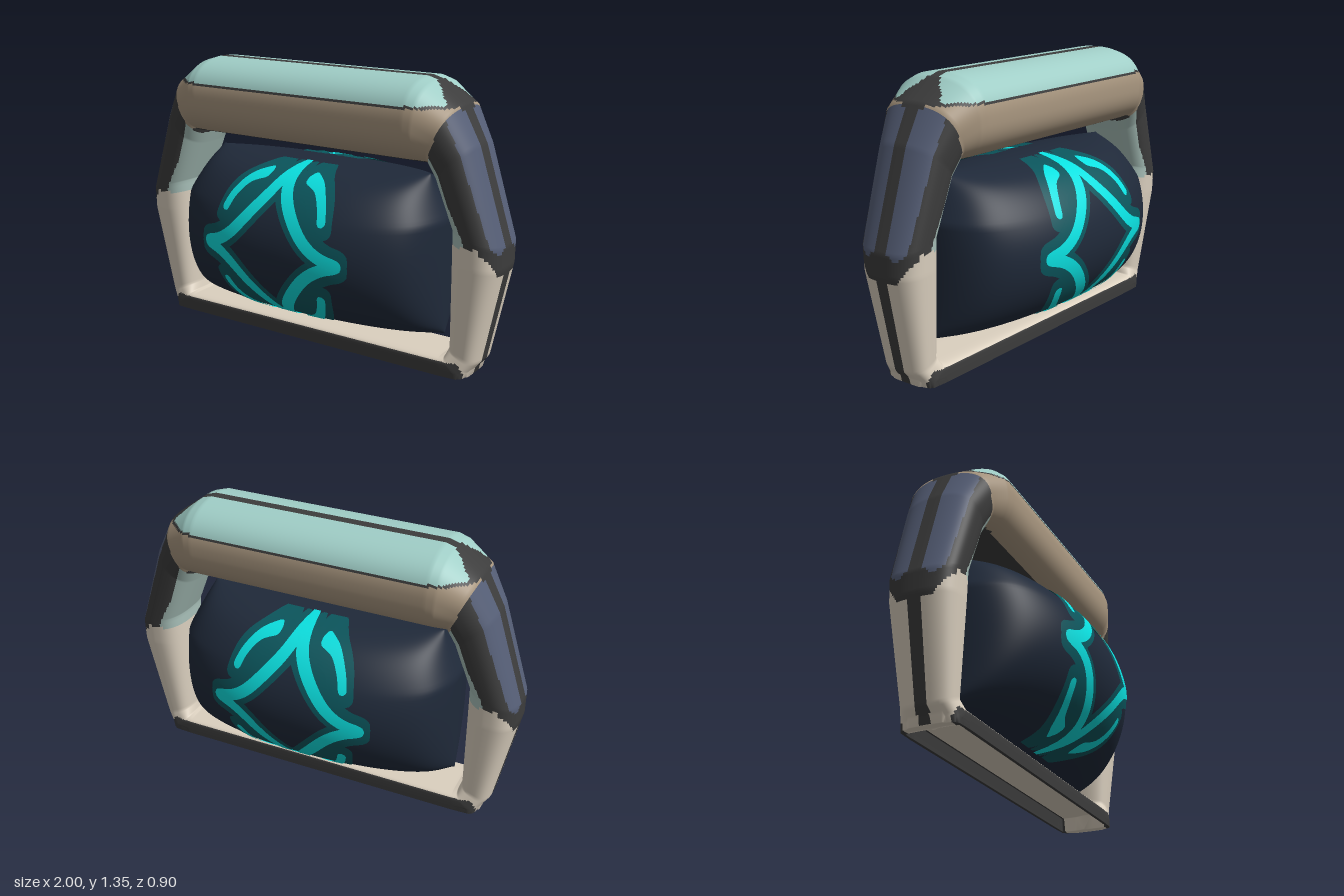
import * as THREE from 'three';

const mat = (name, color, side = THREE.FrontSide) => {
  const m = new THREE.MeshStandardMaterial({ color, side });
  m.name = name;
  return m;
};

// Smooth surface from a grid of points p(s, t); cols x rows cells
function gridGeometry(cols, rows, p) {
  const pos = [], idx = [];
  for (let i = 0; i <= cols; i++) for (let j = 0; j <= rows; j++) pos.push(...p(i / cols, j / rows));
  for (let i = 0; i < cols; i++) for (let j = 0; j < rows; j++) {
    const a = i * (rows + 1) + j, b = a + rows + 1;
    idx.push(a, b, b + 1, a, b + 1, a + 1);
  }
  const g = new THREE.BufferGeometry();
  g.setAttribute('position', new THREE.Float32BufferAttribute(pos, 3));
  g.setIndex(idx);
  g.computeVertexNormals();
  return g;
}

// Cushion: a dome over a rectangle with chamfered top corners, closing sharply at the rim
const CY = 0.525, HY = 0.375, DEPTH = 0.45;
const halfWidth = (y) => 0.7 - 0.5 * Math.max(0, y - 0.7);
function height2(x, y) {
  const u = Math.abs(x / halfWidth(y)), v = Math.abs((y - CY) / HY);
  const U = u ** 2.4, V = v * v;
  const dome = 1 - 0.8 * U - 0.86 * V + 0.66 * U * V;
  return Math.max(0, dome * (1 - u ** 20) * (1 - v ** 20)) * DEPTH ** 2;
}
// Point on the dome, raised along its normal
function onCushion(x, y, lift) {
  const limit = HY * 0.988, h = 0.002;
  y = THREE.MathUtils.clamp(y, CY - limit, CY + limit);
  const z = Math.sqrt(height2(x, y));
  const n = new THREE.Vector3(
    (height2(x - h, y) - height2(x + h, y)) / (2 * h),
    (height2(x, y - h) - height2(x, y + h)) / (2 * h),
    2 * z).normalize().multiplyScalar(lift);
  return [x + n.x, y + n.y, z + n.z];
}

// Tapered ribbon laid over the cushion along a 2D path
function ribbon(points, half, lift, sx, sy) {
  const curve = new THREE.SplineCurve(points.map(([x, y]) => new THREE.Vector2(x, y)));
  return gridGeometry(32, 6, (t, s) => {
    const c = curve.getPoint(t), d = curve.getTangent(t);
    const end = Math.max(0, 1 - Math.min(t, 1 - t) / 0.12);
    const k = (s * 2 - 1) * half * Math.sqrt(Math.max(0.02, 1 - end * end));
    return onCushion(sx * (c.x - d.y * k), CY + sy * (c.y + d.x * k), lift);
  });
}

function createCushion(navy, teal, cyan) {
  const front = new THREE.Group();
  front.name = 'cushionFront';
  const add = (name, g, m) => {
    const mesh = new THREE.Mesh(g, m);
    mesh.name = name;
    front.add(mesh);
  };
  add('cushionShell', gridGeometry(80, 60, (s, t) => {
    const y = CY + HY * Math.sin((t - 0.5) * Math.PI);
    const x = halfWidth(y) * Math.sin((s - 0.5) * Math.PI);
    return [x, y, Math.sqrt(height2(x, y))];
  }), navy);
  // Glowing star outline and four arcs, each on a wider dark halo
  const star = [[-0.005, 0.375], [0.045, 0.27], [0.13, 0.16], [0.21, 0.075], [0.29, 0.025], [0.385, 0]];
  const starHalo = [[-0.01, 0.36], [0.055, 0.27], [0.14, 0.165], [0.22, 0.08], [0.3, 0.03], [0.41, 0]];
  const arc = [[0.105, 0.335], [0.19, 0.305], [0.245, 0.24], [0.275, 0.16]];
  const arcHalo = [[0.05, 0.345], [0.18, 0.295], [0.24, 0.235], [0.27, 0.1]];
  for (const sx of [1, -1]) for (const sy of [1, -1]) {
    add('starHalo', ribbon(starHalo, 0.066, 0.004, sx, sy), teal);
    add('arcHalo', ribbon(arcHalo, 0.062, 0.004, sx, sy), teal);
    add('starLine', ribbon(star, 0.028, 0.008, sx, sy), cyan);
    add('arcLine', ribbon(arc, 0.02, 0.008, sx, sy), cyan);
  }
  const back = front.clone();
  back.name = 'cushionBack';
  back.rotation.y = Math.PI;
  const group = new THREE.Group();
  group.name = 'cushion';
  group.add(front, back);
  return group;
}

// Frame stations: outer x,y, inner x,y, half depth, roundness
const STATIONS = [
  [0, 1.35, 0, 0.97, 0.25, 0.82],
  [0.59, 1.35, 0.58, 0.97, 0.25, 0.82],
  [0.64, 1.335, 0.61, 0.97, 0.245, 0.82],
  [0.77, 1.24, 0.65, 0.97, 0.21, 0.8],
  [0.86, 1.07, 0.68, 0.9, 0.18, 0.78],
  [1, 0.63, 0.76, 0.7, 0.165, 0.75],
  [1, 0.53, 0.76, 0.55, 0.16, 0.75],
  [0.905, 0.07, 0.76, 0.13, 0.122, 0.7],
  [0.85, 0, 0.75, 0.09, 0.138, 0.5],
  [0.75, 0, 0.73, 0.085, 0.14, 0.4],
  [0, 0, 0, 0.085, 0.14, 0.4],
];

// Which part of the frame a point belongs to; q runs from 1 (outer) to -1 (inner)
function framePart(x, y, z, q) {
  if (y < 0.07 && x < 0.87 - 0.5 * y) return z < 0.11 && q > 0.2 ? 'posts' : 'seams';
  if (q > 0.4 && z < 0.028) return 'seams';
  if (y > 1.243) return z > 0.028 + Math.max(0, x - 0.64) ? 'topPads' : 'seams';
  if (y > 1.232) return 'seams';
  if (y > 0.96 && x < 0.68 + 0.4 * (y - 1)) return y < 0.993 ? 'seams' : 'handle';
  if (q > 0.52 && y > 0.6 + 0.8 * Math.abs(z - 0.08) && y < 1.22
    && z > 0.035 && z < 0.135 + 0.07 * (y - 0.7)) return 'shoulderPanels';
  if (q > 0.4 && y > 0.505 + 1.4 * Math.max(0, z - 0.08)) return 'seams';
  if (y < 0.635) return 'posts';
  return q < -0.5 + 1.6 * Math.max(0, 0.82 - y) ? 'innerLining' : 'seams';
}

function createFrame(materials) {
  // Subdivide the right half, then mirror it into a closed ring
  const half = [];
  STATIONS.slice(0, -1).forEach((a, k) => {
    const b = STATIONS[k + 1];
    const n = Math.max(3, Math.ceil(Math.hypot(b[0] - a[0], b[1] - a[1]) / 0.013));
    for (let i = 0; i < n; i++) half.push(a.map((v, c) => v + (b[c] - v) * i / n));
  });
  half.push(STATIONS[STATIONS.length - 1]);
  const left = half.slice(1, -1).reverse().map(([ox, oy, ix, iy, d, e]) => [-ox, oy, -ix, iy, d, e]);
  const ring = [...half, ...left], M = ring.length, N = 108;

  const pos = [], qs = [];
  for (const [ox, oy, ix, iy, d, e] of ring) for (let j = 0; j < N; j++) {
    const a = j / N * Math.PI * 2;
    const soft = (v) => Math.sign(v) * Math.abs(v) ** e;
    const q = soft(Math.cos(a)), z = d * soft(Math.sin(a));
    const x = (ox + ix) / 2 + (ox - ix) / 2 * q;
    let y = (oy + iy) / 2 + (oy - iy) / 2 * q;
    // Flat foot with a channel along the underside
    if (y < 0.022) y = Math.abs(z) < 0.122 && Math.abs(x) < 0.8 ? 0.065 : 0;
    pos.push(x, y, z);
    qs.push(q);
  }
  const idx = [], parts = {};
  for (let i = 0; i < M; i++) for (let j = 0; j < N; j++) {
    const i2 = (i + 1) % M, j2 = (j + 1) % N;
    const quad = [i * N + j, i * N + j2, i2 * N + j2, i2 * N + j];
    const mean = (f) => quad.reduce((sum, v) => sum + f(v), 0) / 4;
    const part = framePart(Math.abs(mean((v) => pos[v * 3])), mean((v) => pos[v * 3 + 1]),
      Math.abs(mean((v) => pos[v * 3 + 2])), mean((v) => qs[v]));
    const [a, b, c, d] = quad;
    idx.push(a, b, c, a, c, d);
    (parts[part] ??= []).push(a, b, c, a, c, d);
  }
  const whole = new THREE.BufferGeometry();
  whole.setAttribute('position', new THREE.Float32BufferAttribute(pos, 3));
  whole.setIndex(idx);
  whole.computeVertexNormals();

  // One mesh for each part, sharing smooth normals
  const group = new THREE.Group();
  group.name = 'frame';
  for (const [name, index] of Object.entries(parts)) {
    const g = new THREE.BufferGeometry();
    g.setAttribute('position', whole.getAttribute('position'));
    g.setAttribute('normal', whole.getAttribute('normal'));
    g.setIndex(index);
    const mesh = new THREE.Mesh(g, materials[name]);
    mesh.name = name;
    group.add(mesh);
  }
  return group;
}

export function createModel() {
  const model = new THREE.Group();
  model.name = 'framedCushion';
  model.add(createFrame({
    topPads: mat('mint', 0xa0cec7),
    handle: mat('taupe', 0xa8967f),
    shoulderPanels: mat('slate', 0x555e76),
    seams: mat('charcoal', 0x3c3c3c),
    posts: mat('cream', 0xdbd0bf),
    innerLining: mat('paleMint', 0xa8c0b9),
  }));
  model.add(createCushion(mat('navy', 0x1f2939),
    mat('darkTeal', 0x0b555c, THREE.DoubleSide), mat('cyan', 0x0ae0e0, THREE.DoubleSide)));
  return model;
}
